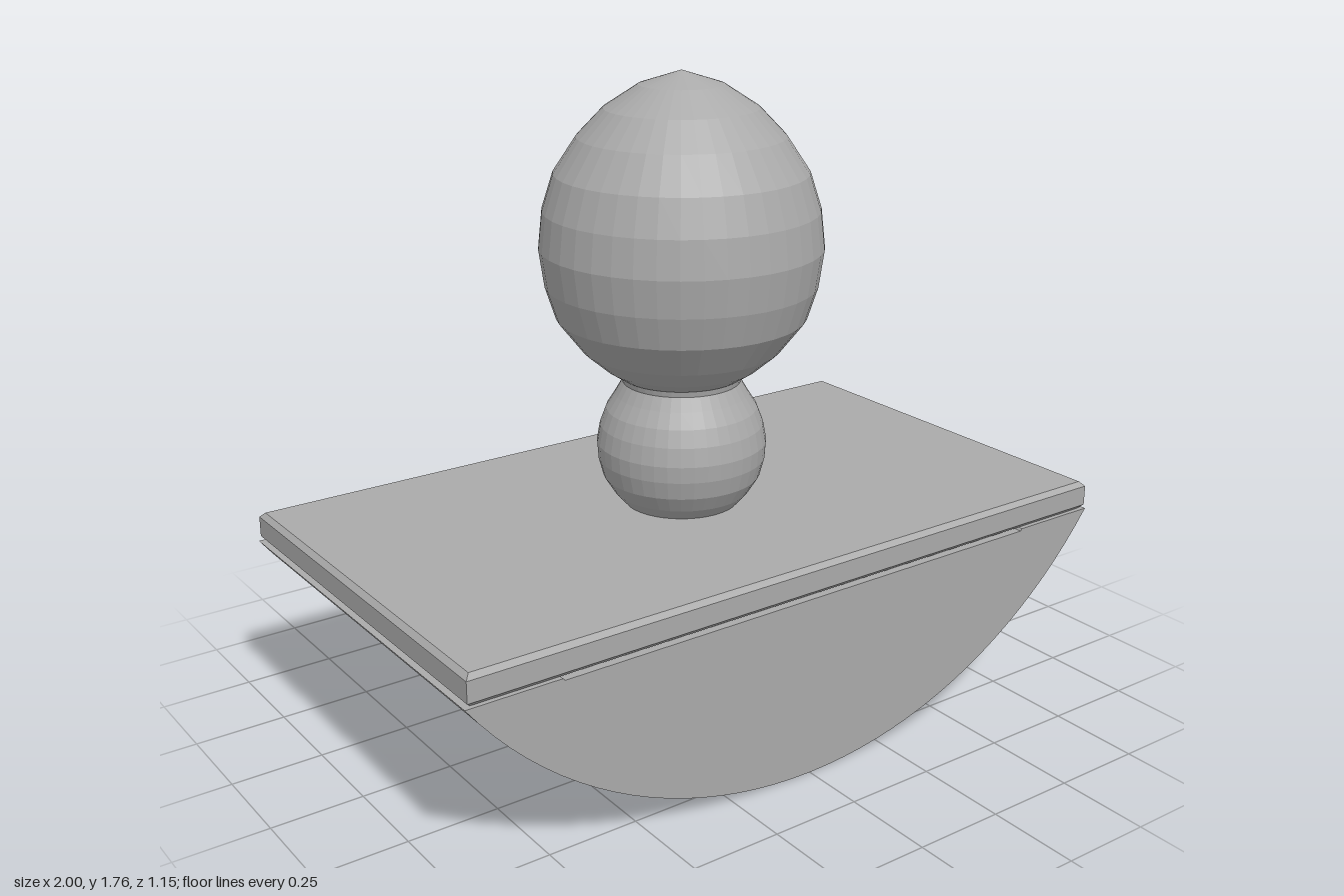
import * as THREE from 'three';

export function createModel() {
  const group = new THREE.Group();
  const grey = new THREE.MeshStandardMaterial({ color: 0xaaaaaa, flatShading: true });
  const add = (name, geometry) => {
    const mesh = new THREE.Mesh(geometry, grey);
    mesh.name = name;
    group.add(mesh);
    return mesh;
  };

  // Rocker: a circular segment, its top very slightly recessed between the ends
  const halfDepth = 0.575, rim = 0.505;
  const radius = (1 + rim * rim) / (2 * rim);
  const halfAngle = Math.asin(1 / radius);
  const rockerShape = new THREE.Shape();
  const steps = 40;
  rockerShape.moveTo(-1, rim);
  for (let i = 1; i <= steps; i++) {
    const a = -halfAngle + (2 * halfAngle * i) / steps;
    rockerShape.lineTo(radius * Math.sin(a), radius * (1 - Math.cos(a)));
  }
  rockerShape.lineTo(0.745, rim);
  rockerShape.lineTo(0.74, rim - 0.006);
  rockerShape.lineTo(-0.74, rim - 0.006);
  rockerShape.lineTo(-0.745, rim);
  const rocker = add('rocker', new THREE.ExtrudeGeometry(rockerShape, { depth: 2 * halfDepth, bevelEnabled: false }));
  rocker.position.z = -halfDepth;

  // Board: a slab with chamfered upper and lower edges
  const chamfer = 0.013, x = 0.993 - chamfer, z = halfDepth - chamfer;
  const boardShape = new THREE.Shape([
    new THREE.Vector2(-x, -z), new THREE.Vector2(x, -z),
    new THREE.Vector2(x, z), new THREE.Vector2(-x, z),
  ]);
  const board = add('board', new THREE.ExtrudeGeometry(boardShape, {
    depth: 0.082 - 2 * chamfer, bevelEnabled: true, bevelSegments: 1,
    bevelSize: chamfer, bevelThickness: chamfer,
  }));
  board.rotation.x = -Math.PI / 2;
  board.position.y = 0.505 + chamfer;

  const lathe = (name, profile) => add(name,
    new THREE.LatheGeometry(profile.map(([r, y]) => new THREE.Vector2(r, y)), 40));

  // Lower bulb and neck
  lathe('lowerBulb', [
    [0, 0.583], [0.155, 0.583], [0.187, 0.62], [0.215, 0.665], [0.228, 0.715], [0.231, 0.76],
    [0.222, 0.81], [0.205, 0.855], [0.18, 0.895], [0.16, 0.93], [0.165, 0.955], [0, 0.955],
  ]);

  // Upper egg-shaped bulb
  lathe('upperBulb', [
    [0, 0.947], [0.167, 0.947], [0.21, 0.975], [0.268, 1.025], [0.335, 1.112], [0.363, 1.2],
    [0.377, 1.3], [0.366, 1.4], [0.335, 1.497], [0.273, 1.59], [0.203, 1.663],
    [0.112, 1.722], [0, 1.758],
  ]);

  return group;
}
